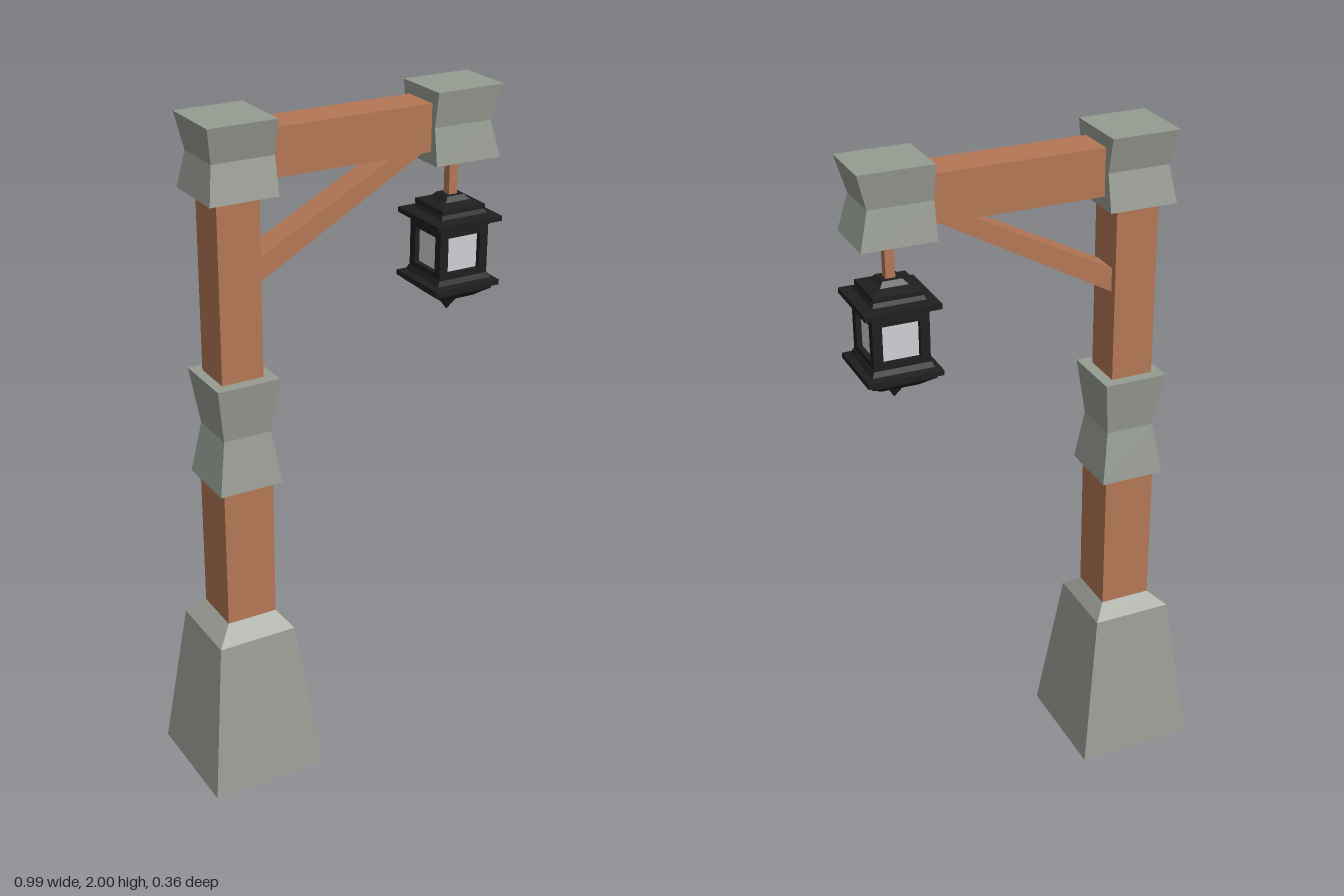
import * as THREE from 'three';

const mat = (name, color) => new THREE.MeshStandardMaterial({ name, color });

// Flat-faced solid through rectangular sections [y, x0, x1, z0, z1], bottom to top
function loft(sections) {
  const pos = [];
  const rings = sections.map(([y, x0, x1, z0, z1]) => [[x0, y, z1], [x1, y, z1], [x1, y, z0], [x0, y, z0]]);
  const quad = (a, b, c, d) => pos.push(...a, ...b, ...c, ...a, ...c, ...d);
  for (let s = 0; s < rings.length - 1; s++) {
    const a = rings[s], b = rings[s + 1];
    for (let i = 0; i < 4; i++) {
      const j = (i + 1) % 4;
      quad(a[i], a[j], b[j], b[i]);
    }
  }
  const lo = rings[0], hi = rings[rings.length - 1];
  quad(lo[3], lo[2], lo[1], lo[0]);
  quad(hi[0], hi[1], hi[2], hi[3]);
  const g = new THREE.BufferGeometry();
  g.setAttribute('position', new THREE.Float32BufferAttribute(pos, 3));
  g.computeVertexNormals();
  return g;
}

// Square sections [y, halfWidth] centred on the axis
const squareLoft = (list) => loft(list.map(([y, h]) => [y, -h, h, -h, h]));

export function createModel() {
  const model = new THREE.Group();
  model.name = 'lampPost';
  const stone = mat('stone', 0x979c93);
  const wood = mat('wood', 0xb47756);
  const iron = mat('blackIron', 0x1e1e1f);
  const glass = mat('paleGlass', 0xcfcdd2);

  const add = (parent, name, geometry, material, x = 0, y = 0, z = 0) => {
    const m = new THREE.Mesh(geometry, material);
    m.name = name;
    m.position.set(x, y, z);
    parent.add(m);
    return m;
  };

  // Stone foot, collar and end caps
  add(model, 'stoneBase', loft([
    [0, -0.495, -0.135, -0.18, 0.18],
    [0.475, -0.438, -0.197, -0.122, 0.12],
    [0.52, -0.386, -0.232, -0.086, 0.068],
  ]), stone);
  add(model, 'stoneCollar', loft([
    [0.953, -0.406, -0.213, -0.105, 0.09],
    [1.11, -0.38, -0.234, -0.082, 0.066],
    [1.275, -0.404, -0.215, -0.104, 0.089],
  ]), stone);
  add(model, 'postCap', loft([
    [1.795, -0.41, -0.21, -0.11, 0.092],
    [1.9, -0.393, -0.21, -0.088, 0.07],
    [2, -0.411, -0.21, -0.111, 0.093],
  ]), stone);
  add(model, 'beamCap', loft([
    [1.795, 0.282, 0.491, -0.1, 0.08],
    [1.9, 0.282, 0.464, -0.084, 0.064],
    [2, 0.282, 0.492, -0.1, 0.08],
  ]), stone);

  // Timber post, beam and brace
  add(model, 'lowerPost', loft([
    [0.5, -0.386, -0.232, -0.086, 0.068],
    [1.0, -0.386, -0.232, -0.086, 0.068],
  ]), wood);
  add(model, 'upperPost', loft([
    [1.2, -0.375, -0.249, -0.071, 0.055],
    [1.83, -0.375, -0.249, -0.071, 0.055],
  ]), wood);
  add(model, 'beam', loft([
    [1.83, -0.25, 0.3, -0.07, 0.048],
    [1.965, -0.25, 0.3, -0.07, 0.048],
  ]), wood);
  const braceShape = new THREE.Shape([
    [-0.255, 1.537], [0.28, 1.835], [0.185, 1.835], [-0.255, 1.607],
  ].map(([x, y]) => new THREE.Vector2(x, y)));
  add(model, 'brace', new THREE.ExtrudeGeometry(braceShape, { depth: 0.084, bevelEnabled: false }),
    wood, 0, 0, -0.05);

  // Hanging lantern, built around its own vertical axis
  const lantern = new THREE.Group();
  lantern.name = 'lantern';
  lantern.position.set(0.387, 0, -0.008);
  model.add(lantern);
  add(lantern, 'hangingRod', new THREE.BoxGeometry(0.027, 0.15, 0.027), wood, 0, 1.74, 0);
  add(lantern, 'lanternRoof', squareLoft([
    [1.6, 0.082], [1.612, 0.09], [1.612, 0.107], [1.627, 0.107], [1.632, 0.075],
    [1.645, 0.07], [1.645, 0.072], [1.658, 0.072], [1.668, 0.04], [1.682, 0.028],
  ]), iron);
  add(lantern, 'lanternFloor', squareLoft([
    [1.38, 0.055], [1.392, 0.07], [1.408, 0.092], [1.418, 0.092], [1.42, 0.107],
    [1.435, 0.107], [1.44, 0.088], [1.455, 0.082],
  ]), iron);
  add(lantern, 'glassCore', new THREE.BoxGeometry(0.13, 0.16, 0.13), glass, 0, 1.525, 0);

  // Framed window on each of the four sides
  const frame = new THREE.Shape([
    [-0.08, 1.44], [0.08, 1.44], [0.08, 1.612], [-0.08, 1.612],
  ].map(([x, y]) => new THREE.Vector2(x, y)));
  frame.holes.push(new THREE.Path([
    [-0.053, 1.472], [-0.053, 1.578], [0.053, 1.578], [0.053, 1.472],
  ].map(([x, y]) => new THREE.Vector2(x, y))));
  const frameGeo = new THREE.ExtrudeGeometry(frame, { depth: 0.02, bevelEnabled: false });
  frameGeo.translate(0, 0, 0.06);
  for (let i = 0; i < 4; i++) {
    add(lantern, 'windowFrame', frameGeo, iron).rotation.y = i * Math.PI / 2;
  }

  // Pointed finial underneath
  const finial = squareLoft([[1.33, 0.001], [1.362, 0.019], [1.368, 0.019], [1.375, 0.01], [1.385, 0.022]]);
  add(lantern, 'finial', finial, iron);
  return model;
}
